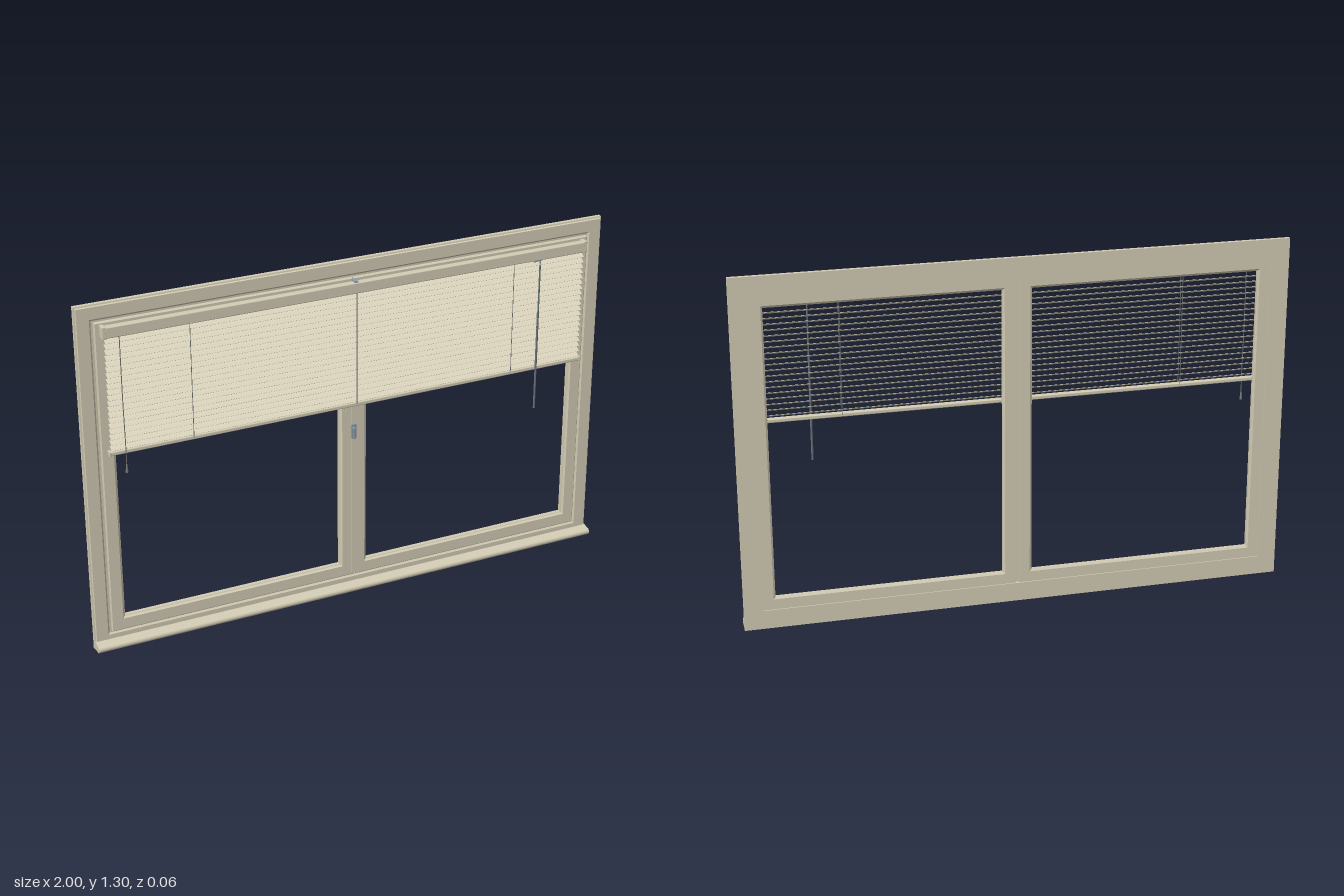
import * as THREE from 'three';
import { RoundedBoxGeometry } from 'three/addons/geometries/RoundedBoxGeometry.js';

const mat = (name, color) => {
  const m = new THREE.MeshStandardMaterial({ color });
  m.name = name;
  return m;
};

// Mitred rectangular frame: a closed profile of [inset, z] carried round four corners
function mitredFrame(x0, x1, y0, y1, profile) {
  const ring = (j, i) => {
    const [d, z] = profile[i % profile.length];
    return [[x0 + d, y0 + d, z], [x1 - d, y0 + d, z], [x1 - d, y1 - d, z], [x0 + d, y1 - d, z]][j % 4];
  };
  const pos = [];
  for (let j = 0; j < 4; j++) {
    for (let i = 0; i < profile.length; i++) {
      const a = ring(j, i), b = ring(j + 1, i), c = ring(j + 1, i + 1), d = ring(j, i + 1);
      pos.push(...a, ...b, ...c, ...a, ...c, ...d);
    }
  }
  const g = new THREE.BufferGeometry();
  g.setAttribute('position', new THREE.Float32BufferAttribute(pos, 3));
  g.computeVertexNormals();
  return g;
}

// Extrude a (z, y) outline along x, centred on x = 0
function alongX(shape, length) {
  const g = new THREE.ExtrudeGeometry(shape, { depth: length, bevelEnabled: false, curveSegments: 10 });
  g.rotateY(-Math.PI / 2);
  g.translate(length / 2, 0, 0);
  return g;
}

export function createModel() {
  const root = new THREE.Group();
  root.name = 'windowWithBlind';
  const cream = mat('cream frame', 0xd3ccb4);
  const slatCream = mat('slat cream', 0xdad3bc);
  const steel = mat('blue grey metal', 0x8c9daa);
  const cordGrey = mat('cord grey', 0x77797a);
  const wandGrey = mat('wand grey', 0x66717a);

  const add = (name, geo, material, x = 0, y = 0, z = 0, parent = root) => {
    const m = new THREE.Mesh(geo, material);
    m.name = name;
    m.position.set(x, y, z);
    parent.add(m);
    return m;
  };
  const rod = (name, r, yLow, yHigh, material, x, z, parent = root) =>
    add(name, new THREE.CylinderGeometry(r, r, yHigh - yLow, 10), material, x, (yLow + yHigh) / 2, z, parent);

  // Outer frame with a stepped front edge and inner rebate
  add('outerFrame', mitredFrame(-1, 1, 0, 1.3, [
    [0, -0.03], [0, -0.015], [0.005, -0.014], [0.007, -0.008], [0.05, -0.008],
    [0.056, -0.013], [0.07, -0.013], [0.07, -0.03],
  ]), cream);

  // Two sashes meeting in the middle
  const sashProfile = [
    [0.006, -0.026], [0.006, -0.012], [0, -0.012], [0, -0.003], [0.003, 0], [0.043, 0],
    [0.048, -0.006], [0.052, -0.008], [0.052, -0.022], [0.045, -0.026],
  ];
  add('rightSash', mitredFrame(-0.937, -0.001, 0.064, 1.238, sashProfile), cream);
  add('leftSash', mitredFrame(0.001, 0.937, 0.064, 1.238, sashProfile), cream);
  add('meetingStrip', new THREE.BoxGeometry(0.014, 1.16, 0.022), cream, 0, 0.651, -0.01);

  // Sill with a rounded nose
  const sill = new THREE.Shape();
  sill.moveTo(-0.028, 0.002);
  sill.lineTo(0.0, 0.002);
  sill.lineTo(0.018, 0.004);
  sill.absarc(0.0175, 0.0165, 0.0125, -Math.PI / 2, Math.PI / 2, false);
  sill.lineTo(-0.006, 0.033);
  sill.lineTo(-0.028, 0.033);
  add('sill', alongX(sill, 1.998), cream);

  // Sash handle
  const handle = new THREE.Group();
  handle.name = 'handle';
  root.add(handle);
  add('handlePlate', new RoundedBoxGeometry(0.02, 0.056, 0.005, 3, 0.002), steel, 0, 0.653, 0.003, handle);
  const hub = add('handleHub', new THREE.CylinderGeometry(0.007, 0.007, 0.008, 16), steel, 0, 0.664, 0.007, handle);
  hub.rotation.x = Math.PI / 2;
  add('handleLever', new RoundedBoxGeometry(0.009, 0.042, 0.005, 3, 0.002), steel, 0, 0.646, 0.01, handle);

  // Blind: headrail, end brackets, bottom rail
  const blind = new THREE.Group();
  blind.name = 'blind';
  root.add(blind);
  add('headrail', new RoundedBoxGeometry(1.82, 0.04, 0.026, 3, 0.004), cream, 0, 1.209, 0.017, blind);
  for (const s of [-1, 1]) {
    add('headrailBracket', new RoundedBoxGeometry(0.014, 0.044, 0.03, 2, 0.002), cream, s * 0.913, 1.209, 0.015, blind);
    add('bottomRailCap', new RoundedBoxGeometry(0.008, 0.018, 0.022, 2, 0.002), cream, s * 0.914, 0.768, 0.017, blind);
  }
  add('centreClip', new THREE.BoxGeometry(0.014, 0.008, 0.026), steel, 0, 1.23, 0.014, blind);
  add('bottomRail', new RoundedBoxGeometry(1.824, 0.015, 0.02, 3, 0.004), cream, 0, 0.768, 0.017, blind);

  // Slats: thin, slightly crowned, front edge tipped down
  const slat = new THREE.Shape();
  slat.moveTo(-0.0115, 0);
  slat.quadraticCurveTo(0, 0.0024, 0.0115, 0);
  slat.lineTo(0.0115, -0.0008);
  slat.quadraticCurveTo(0, 0.0016, -0.0115, -0.0008);
  const slatGeo = alongX(slat, 1.82);
  slatGeo.rotateX(THREE.MathUtils.degToRad(29));
  const count = 20;
  for (let i = 0; i < count; i++) {
    add('slat', slatGeo, slatCream, 0, 0.785 + i * 0.0206, 0.017, blind);
  }

  // Ladder cords before and behind the slats
  for (const x of [-0.615, 0, 0.62]) {
    for (const z of [0.006, 0.0285]) rod('ladderCord', 0.0012, 0.77, 1.19, cordGrey, x, z, blind);
  }

  // Tilt wand on its hook
  const hook = add('wandHook', new RoundedBoxGeometry(0.036, 0.008, 0.006, 2, 0.002), steel, 0.718, 1.19, 0.027, blind);
  hook.rotation.z = 0.1;
  rod('wandLink', 0.002, 1.165, 1.19, steel, 0.727, 0.0275, blind);
  rod('wandUpper', 0.003, 0.99, 1.17, wandGrey, 0.727, 0.0275, blind);
  rod('wandLower', 0.004, 0.605, 0.99, wandGrey, 0.727, 0.0265, blind);

  // Lift cord with tassel
  const path = new THREE.CatmullRomCurve3([
    new THREE.Vector3(-0.862, 1.19, 0.028), new THREE.Vector3(-0.862, 0.95, 0.0285),
    new THREE.Vector3(-0.86, 0.78, 0.028), new THREE.Vector3(-0.858, 0.71, 0.022),
  ]);
  add('liftCord', new THREE.TubeGeometry(path, 20, 0.0016, 6), cordGrey, 0, 0, 0, blind);
  add('liftTassel', new THREE.CylinderGeometry(0.0025, 0.005, 0.03, 12), cordGrey, -0.858, 0.702, 0.021, blind);

  return root;
}
